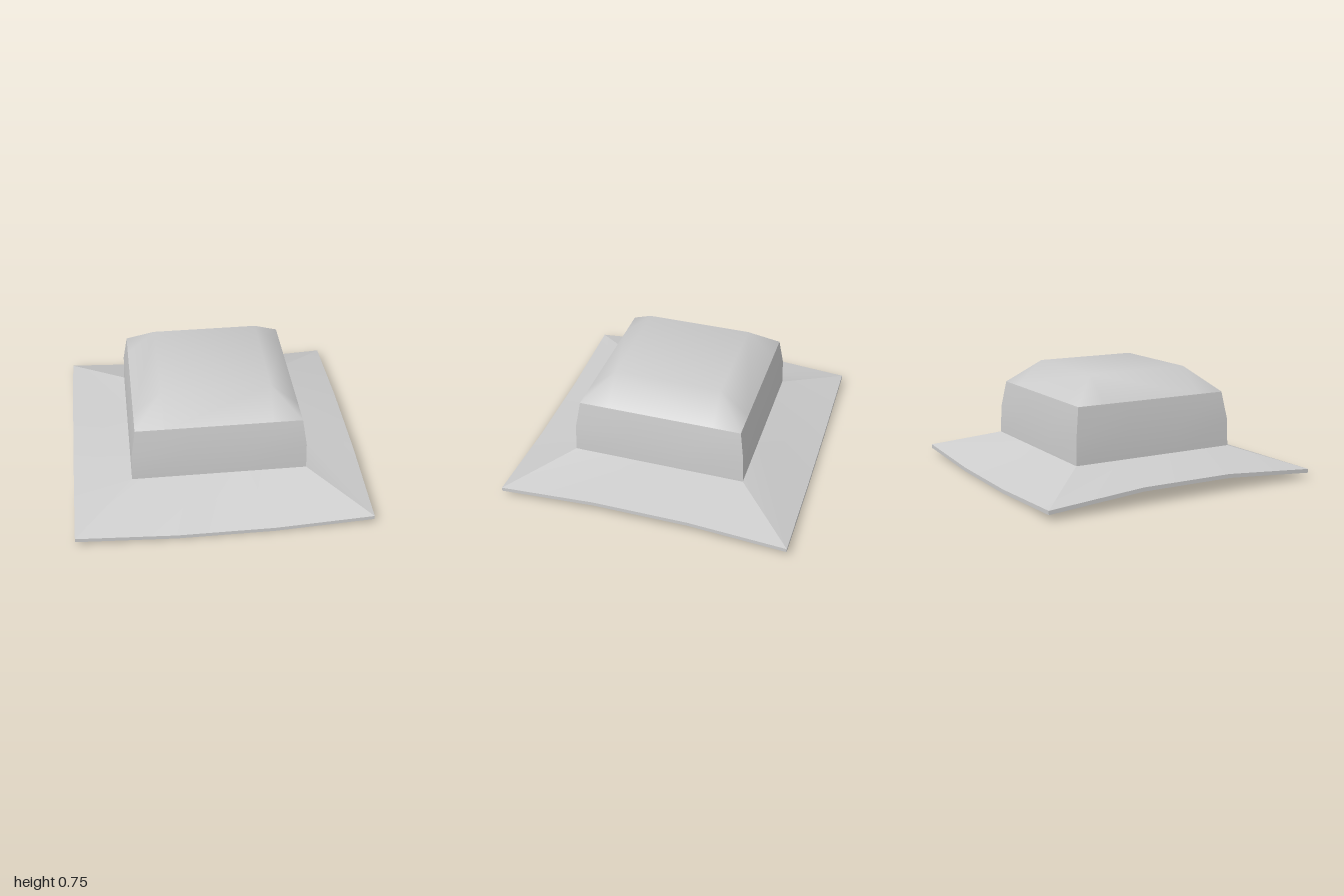
import * as THREE from 'three';
import { mergeGeometries } from 'three/addons/utils/BufferGeometryUtils.js';

const material = new THREE.MeshStandardMaterial({ color: 0xcccccc });

function indexed(positions, index) {
  const geometry = new THREE.BufferGeometry();
  geometry.setAttribute('position', new THREE.Float32BufferAttribute(positions, 3));
  geometry.setIndex(index);
  geometry.computeVertexNormals();
  return geometry;
}

// One of four sides: rows [half width, half width of the middle segment, corner y, middle y]
function sideStrip(rows, side) {
  const positions = [], index = [];
  rows.forEach(([half, inner, cornerY, middleY], r) => {
    [-half, -inner, inner, half].forEach((x, i) => {
      positions.push(x, i === 0 || i === 3 ? cornerY : middleY, half);
      if (r > 0 && i < 3) {
        const a = (r - 1) * 4 + i, b = a + 4;
        index.push(a, a + 1, b + 1, a, b + 1, b);
      }
    });
  });
  return indexed(positions, index).rotateY(side * Math.PI / 2);
}

// Four strips round the square; rowsFor(side) runs front, left, back, right
const squareRing = (rowsFor) =>
  mergeGeometries([0, 1, 2, 3].map((side) => sideStrip(rowsFor(side), side)));

// 4 x 4 grid with its middle square raised; flatCorners picks the corner diagonals
function raisedPanel(half, inner, rimY, middleY, flatCorners, faceDown) {
  const steps = [-half, -inner, inner, half];
  const positions = [], index = [];
  steps.forEach((z, j) => steps.forEach((x, i) => {
    const middle = i % 3 !== 0 && j % 3 !== 0;
    positions.push(x, middle ? middleY : rimY, z);
    if (i === 3 || j === 3) return;
    const a = j * 4 + i, b = a + 1, c = a + 5, d = a + 4;
    const acrossAC = ((i === j) !== flatCorners);
    const faces = acrossAC ? [a, d, c, a, c, b] : [a, d, b, b, d, c];
    index.push(...(faceDown ? faces.reverse() : faces));
  }));
  return indexed(positions, index);
}

export function createModel() {
  const group = new THREE.Group();
  const add = (name, geometry) => {
    const mesh = new THREE.Mesh(geometry, material);
    mesh.name = name;
    group.add(mesh);
  };

  // Brim edge dips at front and back and lifts at the sides
  const edgeMiddle = [0.028, 0.11, 0.034, 0.118];
  const thickness = 0.027;
  const edgeTop = (s) => [1, 0.33, 0.066, edgeMiddle[s]];
  const edgeBottom = (s) => [1, 0.33, 0.066 - thickness, edgeMiddle[s] - thickness];

  add('brimTop', squareRing((s) => [edgeTop(s), [0.6, 0.2, 0.2, 0.2]]));
  add('brimEdge', squareRing((s) => [edgeBottom(s), edgeTop(s)]));
  add('brimUnderside', squareRing((s) => [[0.6, 0.2, 0.065, 0.065], edgeBottom(s)]));

  // Shallow hollow beneath the crown
  add('hollow', raisedPanel(0.6, 0.2, 0.065, 0.26, true, true));

  // Crown walls lean in slightly towards the top
  add('crownWalls', squareRing(() => [
    [0.6, 0.2, 0.2, 0.2],
    [0.595, 0.2, 0.39, 0.39],
    [0.565, 0.19, 0.58, 0.58],
  ]));

  // Sloped crown top with a flat middle
  add('crownTop', raisedPanel(0.565, 0.37, 0.58, 0.75, false, false));

  return group;
}
